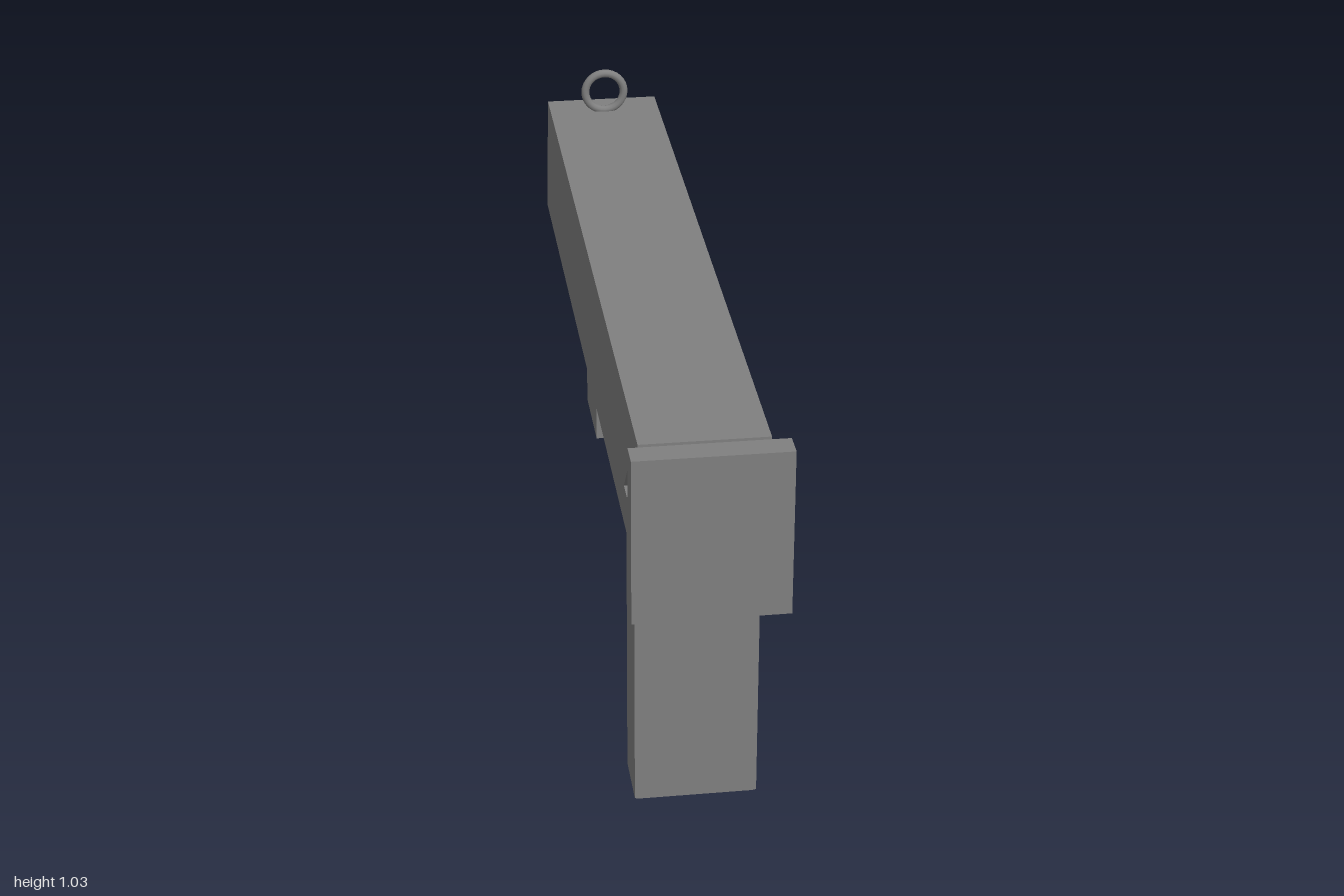
import * as THREE from 'three';

const grey = new THREE.MeshStandardMaterial({ color: 0x808080, side: THREE.DoubleSide });
grey.name = 'grey';

const BOTTOM = 0.61, TOP = 0.922, HALF = 0.135;
const BORE_Y = 0.765, BORE_R = 0.084, BORE_SIDES = 12, BORE_END = -0.45;

// z of the slanted rear face at height y
const rearZ = (y) => -1 + 0.07 * (y - BOTTOM) / (TOP - BOTTOM);

function flat(geometry) {
  const g = geometry.index ? geometry.toNonIndexed() : geometry;
  g.computeVertexNormals();
  return g;
}

// Moves each vertex by a rule
function reshape(geometry, rule) {
  const p = geometry.attributes.position;
  const v = new THREE.Vector3();
  for (let i = 0; i < p.count; i++) {
    v.fromBufferAttribute(p, i);
    rule(v);
    p.setXYZ(i, v.x, v.y, v.z);
  }
  return geometry;
}

// Box given by its limits on each axis
function block(x, [y0, y1], [z0, z1]) {
  return new THREE.BoxGeometry(2 * x, y1 - y0, z1 - z0)
    .translate(0, (y0 + y1) / 2, (z0 + z1) / 2);
}

// Side profile with the slanted slot, extruded across; the rear wall is left open
function bodyShell() {
  const points = (list) => list.map(([z, y]) => new THREE.Vector2(-z, y));
  const profile = new THREE.Shape(points([[0.88, BOTTOM], [-1, BOTTOM], [-0.93, TOP], [0.88, TOP]]));
  profile.holes.push(new THREE.Path(points([[0.82, 0.835], [0.767, 0.835], [0.65, 0.7], [0.703, 0.7]])));
  const g = new THREE.ExtrudeGeometry(profile, { depth: 2 * HALF, bevelEnabled: false })
    .translate(0, 0, -HALF).rotateY(Math.PI / 2);
  const p = g.attributes.position;
  const kept = [];
  for (let i = 0; i < p.count; i += 3) {
    const corners = [i, i + 1, i + 2];
    if (corners.every((k) => Math.abs(p.getZ(k) - rearZ(p.getY(k))) < 1e-4)) continue;
    corners.forEach((k) => kept.push(p.getX(k), p.getY(k), p.getZ(k)));
  }
  const shell = new THREE.BufferGeometry();
  shell.setAttribute('position', new THREE.Float32BufferAttribute(kept, 3));
  return flat(shell);
}

// Slanted rear plate with the round opening
function rearFace() {
  const s = new THREE.Shape([[-HALF, BOTTOM], [HALF, BOTTOM], [HALF, TOP], [-HALF, TOP]]
    .map(([x, y]) => new THREE.Vector2(x, y)));
  const ring = [];
  for (let i = 0; i < BORE_SIDES; i++) {
    const a = (i / BORE_SIDES) * Math.PI * 2;
    ring.push(new THREE.Vector2(BORE_R * Math.cos(a), BORE_Y + BORE_R * Math.sin(a)));
  }
  s.holes.push(new THREE.Path(ring));
  const g = new THREE.ShapeGeometry(s).rotateY(Math.PI);
  return flat(reshape(g, (v) => { v.z = rearZ(v.y); }));
}

// Tube wall whose mouth follows the slanted face
function boreWall() {
  const g = new THREE.CylinderGeometry(BORE_R, BORE_R, 1, BORE_SIDES, 1, true)
    .rotateX(Math.PI / 2).translate(0, BORE_Y, 0);
  return flat(reshape(g, (v) => { v.z = v.z < 0 ? rearZ(v.y) : BORE_END; }));
}

// Block whose underside swells slightly
function rearGrip() {
  const g = new THREE.BoxGeometry(0.264, 0.61, 0.132, 1, 1, 1).translate(0, 0.315, 0.732);
  return flat(g);
}

function gripSole() {
  const g = new THREE.BoxGeometry(0.264, 0.01, 0.132, 1, 1, 4).translate(0, 0.005, 0);
  return flat(reshape(g, (v) => {
    if (v.y < 0.005) {
      v.y = 0.008 * (v.z / 0.066) ** 2;
      v.x *= 0.93;
    }
    v.z += 0.732;
  }));
}

export function createModel() {
  const model = new THREE.Group();
  model.name = 'model';
  const add = (name, geometry) => {
    const mesh = new THREE.Mesh(geometry, grey);
    mesh.name = name;
    model.add(mesh);
  };

  // Main body and rear opening
  add('body', bodyShell());
  add('rearFace', rearFace());
  add('bore', boreWall());
  add('boreEnd', new THREE.CircleGeometry(BORE_R, BORE_SIDES).rotateY(Math.PI).translate(0, BORE_Y, BORE_END));

  // End plate on its neck
  add('neck', block(0.11, [0.64, 0.895], [0.87, 0.95]));
  add('endPlate', block(0.163, [0.58, 0.952], [0.945, 1]));

  // Main handle
  add('handle', rearGrip());
  add('handleSole', gripSole());

  // Small grip on a post
  add('post', block(0.047, [0.28, 0.62], [-0.775, -0.692]));
  add('foregrip', block(0.054, [0.12, 0.292], [-0.83, -0.615]));

  // Sight ring
  add('sightRing', new THREE.TorusGeometry(0.048, 0.01, 10, 32).translate(0, 0.972, -0.856));

  return model;
}
